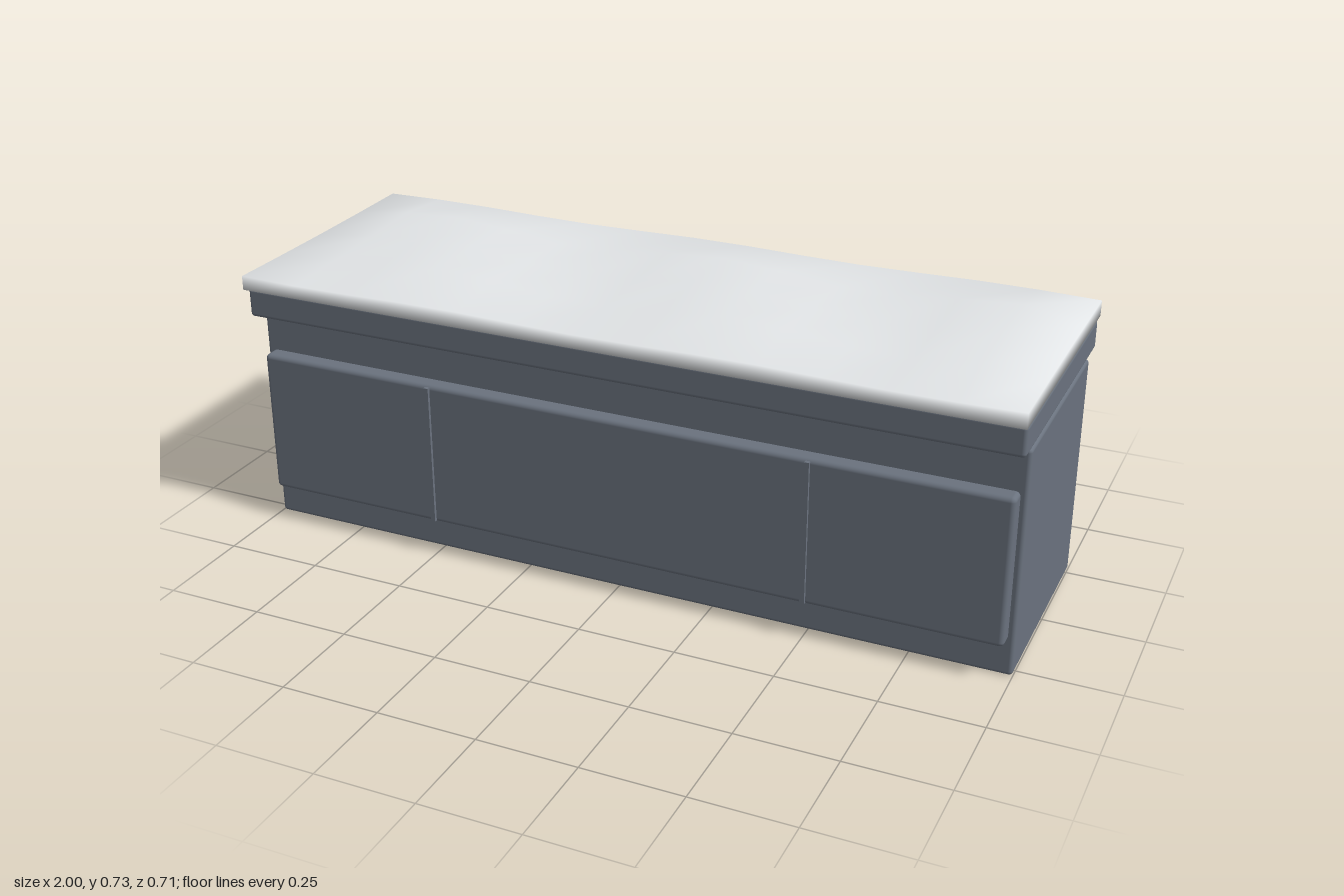
import * as THREE from 'three';
import { mergeVertices } from 'three/addons/utils/BufferGeometryUtils.js';
import { RoundedBoxGeometry } from 'three/addons/geometries/RoundedBoxGeometry.js';

const slate = new THREE.MeshStandardMaterial({ name: 'slate grey', color: 0x6a727e });
const snow = new THREE.MeshStandardMaterial({ name: 'snow white', color: 0xf2f5f7 });

function addMesh(group, name, geometry, material, x, y, z) {
  const mesh = new THREE.Mesh(geometry, material);
  mesh.name = name;
  mesh.position.set(x, y, z);
  group.add(mesh);
}

// Slab with a wavy top: inner rows roll along x, the rim stays low
function snowGeometry() {
  const halfX = 1, halfZ = 0.355, base = 0.66;
  let geo = new THREE.BoxGeometry(2 * halfX, 0.04, 2 * halfZ, 13, 1, 4);
  geo.deleteAttribute('uv');
  geo.deleteAttribute('normal');
  geo = mergeVertices(geo);
  const p = geo.attributes.position;
  for (let i = 0; i < p.count; i++) {
    const x = p.getX(i), z = p.getZ(i);
    let y = base;
    if (p.getY(i) > 0) {
      const rim = Math.abs(x) > halfX - 0.01 || Math.abs(z) > halfZ - 0.01;
      const wave = Math.cos((2 * Math.PI * (x - 0.16 - 0.5 * z)) / 0.78);
      y = rim ? 0.699 + 0.003 * wave - 0.005 * z : 0.713 + 0.016 * wave;
    }
    p.setY(i, y);
  }
  geo.computeVertexNormals();
  return geo;
}

export function createModel() {
  const model = new THREE.Group();
  model.name = 'snowyChest';

  // Body and overhanging lid
  addMesh(model, 'body', new RoundedBoxGeometry(1.998, 0.578, 0.556, 3, 0.01), slate, 0, 0.289, 0);
  addMesh(model, 'lid', new RoundedBoxGeometry(1.998, 0.077, 0.676, 3, 0.01), slate, 0, 0.6205, 0);

  // Front panel with two raised dividers
  addMesh(model, 'frontPanel', new RoundedBoxGeometry(1.964, 0.38, 0.06, 3, 0.012), slate, 0, 0.283, 0.288);
  for (const x of [-0.5, 0.5]) {
    addMesh(model, 'panelDivider', new THREE.BoxGeometry(0.012, 0.37, 0.02), slate, x, 0.283, 0.316);
  }

  // Snow blanket
  addMesh(model, 'snowCover', snowGeometry(), snow, 0, 0, 0);
  return model;
}
